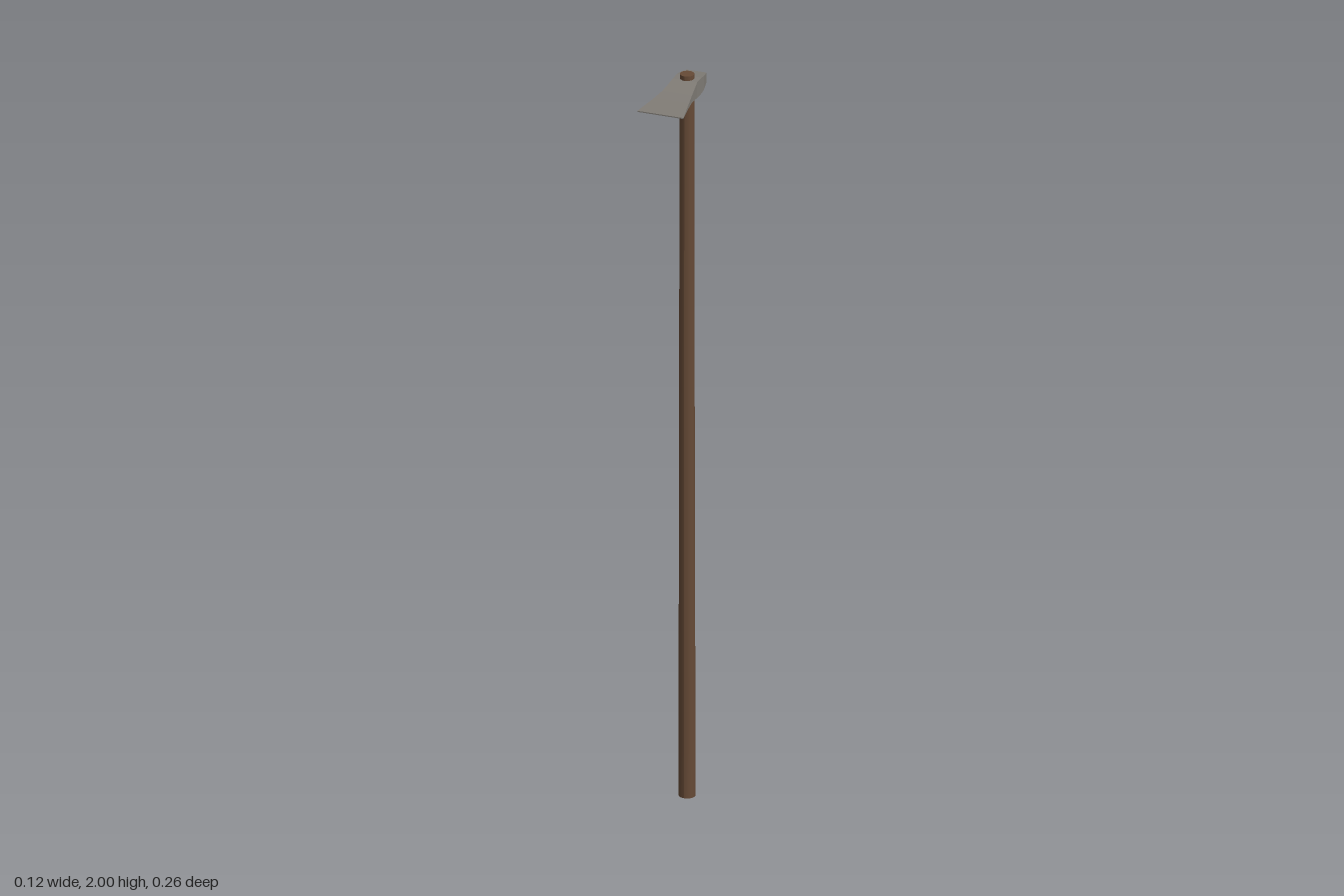
import * as THREE from 'three';

const HANDLE_Z = -0.06;

// Loft rectangular sections [z, halfWidth, halfHeight] along z, capped at both ends
function loftHead(sections, y) {
  const pos = [];
  const corners = sections.map(([z, w, h]) => [[-w, y - h, z], [w, y - h, z], [w, y + h, z], [-w, y + h, z]]);
  const quad = (a, b, c, d) => pos.push(...a, ...b, ...c, ...a, ...c, ...d);
  for (let i = 0; i < corners.length - 1; i++) {
    const p = corners[i], q = corners[i + 1];
    for (let k = 0; k < 4; k++) {
      const n = (k + 1) % 4;
      quad(p[k], p[n], q[n], q[k]);
    }
  }
  const first = corners[0], last = corners[corners.length - 1];
  quad(first[3], first[2], first[1], first[0]);
  quad(last[0], last[1], last[2], last[3]);
  const g = new THREE.BufferGeometry();
  g.setAttribute('position', new THREE.Float32BufferAttribute(pos, 3));
  g.computeVertexNormals();
  return g;
}

// Long round shaft, slightly tapered and gently uneven like hewn wood
function shaftGeometry() {
  const g = new THREE.CylinderGeometry(0.0185, 0.0215, 2, 16, 14);
  g.translate(0, 1, 0);
  const p = g.attributes.position;
  for (let i = 0; i < p.count; i++) {
    const y = p.getY(i);
    const bow = Math.sin(Math.PI * y / 2);
    p.setX(i, p.getX(i) - 0.0015 * bow);
    p.setZ(i, p.getZ(i) - 0.002 * bow);
  }
  g.computeVertexNormals();
  return g;
}

export function createModel() {
  const wood = new THREE.MeshStandardMaterial({ color: 0x664a36 });
  wood.name = 'brown wood';
  const steel = new THREE.MeshStandardMaterial({ color: 0x807c76 });
  steel.name = 'grey steel';

  const model = new THREE.Group();
  model.name = 'longHandledAdze';

  const handle = new THREE.Mesh(shaftGeometry(), wood);
  handle.name = 'handle';
  handle.position.z = HANDLE_Z;
  model.add(handle);

  // Blunt poll at the back, thick eye around the handle, flared thin blade in front
  const head = new THREE.Mesh(loftHead([
    [-0.13, 0.025, 0.011],
    [-0.127, 0.027, 0.013],
    [-0.092, 0.033, 0.019],
    [-0.075, 0.033, 0.022],
    [-0.045, 0.033, 0.022],
    [-0.02, 0.036, 0.016],
    [0.01, 0.040, 0.010],
    [0.05, 0.047, 0.006],
    [0.13, 0.062, 0.0015],
  ], 1.966), steel);
  head.name = 'adzeHead';
  model.add(head);

  return model;
}
